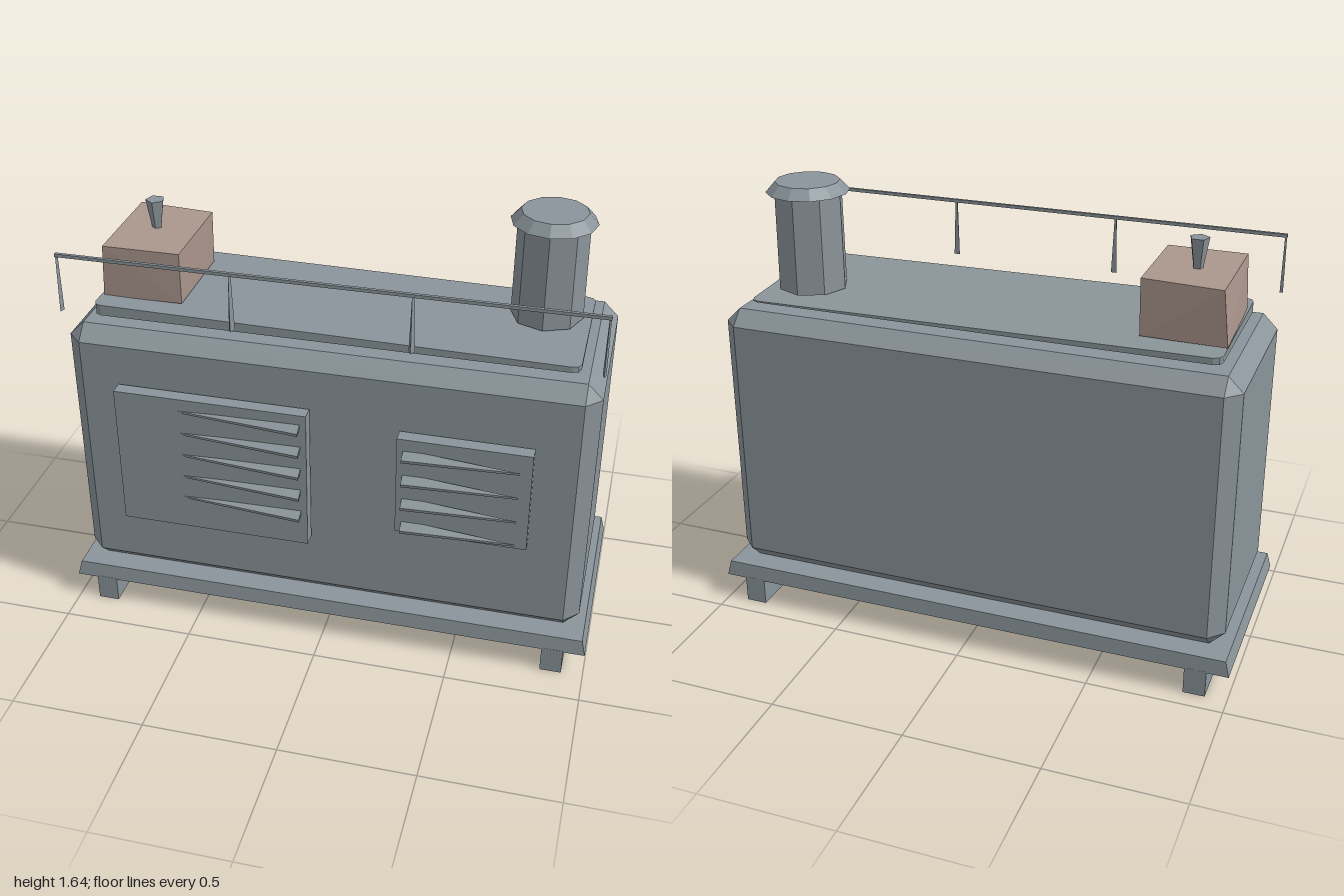
import * as THREE from 'three';
import { ConvexGeometry } from 'three/addons/geometries/ConvexGeometry.js';

const steel = new THREE.MeshStandardMaterial({ color: 0x8a949a, flatShading: true });
steel.name = 'steelGrey';
const tan = new THREE.MeshStandardMaterial({ color: 0xab968d, flatShading: true });
tan.name = 'dustyPink';

export function createModel() {
  const model = new THREE.Group();
  model.name = 'generator';

  const add = (name, geometry, material = steel) => {
    const mesh = new THREE.Mesh(geometry, material);
    mesh.name = name;
    model.add(mesh);
    return mesh;
  };
  // Solid spanning a list of corner points
  const hull = (points) => new ConvexGeometry(points.map((p) => new THREE.Vector3(...p)));
  // Box given by its limits on each axis
  const box = (x0, x1, y0, y1, z0, z1) =>
    new THREE.BoxGeometry(x1 - x0, y1 - y0, z1 - z0)
      .translate((x0 + x1) / 2, (y0 + y1) / 2, (z0 + z1) / 2);
  // Box with every edge and corner cut off
  const chamferBox = (x, y0, y1, z0, z1, c) => {
    const points = [];
    for (const sx of [-1, 1]) for (const [y, sy] of [[y0, 1], [y1, -1]])
      for (const [z, sz] of [[z0, 1], [z1, -1]]) {
        points.push([sx * x, y + sy * c, z + sz * c]);
        points.push([sx * (x - c), y, z + sz * c]);
        points.push([sx * (x - c), y + sy * c, z]);
      }
    return hull(points);
  };

  // Base slab with slightly tapered sides, on two skids
  const slab = [];
  for (const s of [-1, 1]) for (const [y, x, zf, zb] of [[0.1, 1, 0.37, -0.43], [0.16, 0.985, 0.362, -0.425]])
    slab.push([s * x, y, zf], [s * x, y, zb]);
  add('baseSlab', hull(slab));
  for (const s of [-1, 1]) add('skid', box(s * 0.88 - 0.04, s * 0.88 + 0.04, 0, 0.105, -0.43, 0.37));

  // Housing
  add('housing', chamferBox(0.96, 0.162, 1.2, -0.39, 0.33, 0.055));

  // Roof plate: rounded corners, thickest at the front left
  const roof = [];
  for (const sx of [-1, 1]) for (const sz of [-1, 1])
    for (const [dx, dz] of [[0.03, 0], [0.009, 0.009], [0, 0.03]]) {
      const x = sx * (0.875 - dx);
      const z = -0.03 + sz * (0.278 - dz);
      roof.push([x, 1.22, z], [x, 1.243 - x * 0.011 + (z + 0.03) * 0.03, z]);
    }
  add('roofPlate', hull(roof));

  // Front panels with tapering louvres
  add('leftPanel', box(-0.76, -0.045, 0.445, 1.0, 0.345, 0.396));
  add('rightPanel', box(0.28, 0.755, 0.565, 0.96, 0.345, 0.396));
  const louvre = (y, xWide, xTip, zTip) => add('louvre', hull([
    [xWide, y + 0.016, 0.39], [xWide, y - 0.002, 0.39],
    [xWide, y - 0.005, 0.43], [xWide, y - 0.017, 0.428],
    [xTip, y + 0.004, zTip], [xTip, y - 0.004, zTip],
  ]));
  for (let i = 0; i < 5; i++) louvre(0.95 - i * 0.093, -0.068, -0.52, 0.399);
  for (let i = 0; i < 4; i++) louvre(0.9 - i * 0.101, 0.303, 0.715, 0.422);

  // Handrail on four posts that widen downwards
  add('handrail', box(-0.96, 0.96, 1.478, 1.49, 0.319, 0.331));
  for (const x of [-0.955, -0.325, 0.31, 0.955]) {
    const w = Math.abs(x) > 0.9 ? 0.006 : 0.011;
    add('railPost', hull([
      [x - 0.004, 1.485, 0.32], [x + 0.003, 1.485, 0.32], [x - 0.002, 1.485, 0.33],
      [x - w, 1.27, 0.322], [x + w, 1.27, 0.322], [x, 1.27, 0.343],
    ]));
  }

  // Tank, a little skewed at the back left, with a filler cap
  add('tank', hull([
    [-0.865, 1.255, 0.16], [-0.565, 1.26, 0.165], [-0.57, 1.25, -0.215], [-0.878, 1.255, -0.235],
    [-0.853, 1.455, 0.165], [-0.565, 1.455, 0.165], [-0.565, 1.455, -0.21], [-0.855, 1.455, -0.235],
  ]), tan);
  add('fillerCap', new THREE.CylinderGeometry(0.036, 0.018, 0.11, 5).translate(-0.72, 1.508, -0.04));

  // Exhaust stack with a flared rain cap
  add('exhaustStack', new THREE.CylinderGeometry(0.127, 0.13, 0.37, 8).translate(0.715, 1.425, -0.11));
  add('rainCap', new THREE.CylinderGeometry(0.118, 0.153, 0.038, 12).translate(0.715, 1.622, -0.113));

  return model;
}
